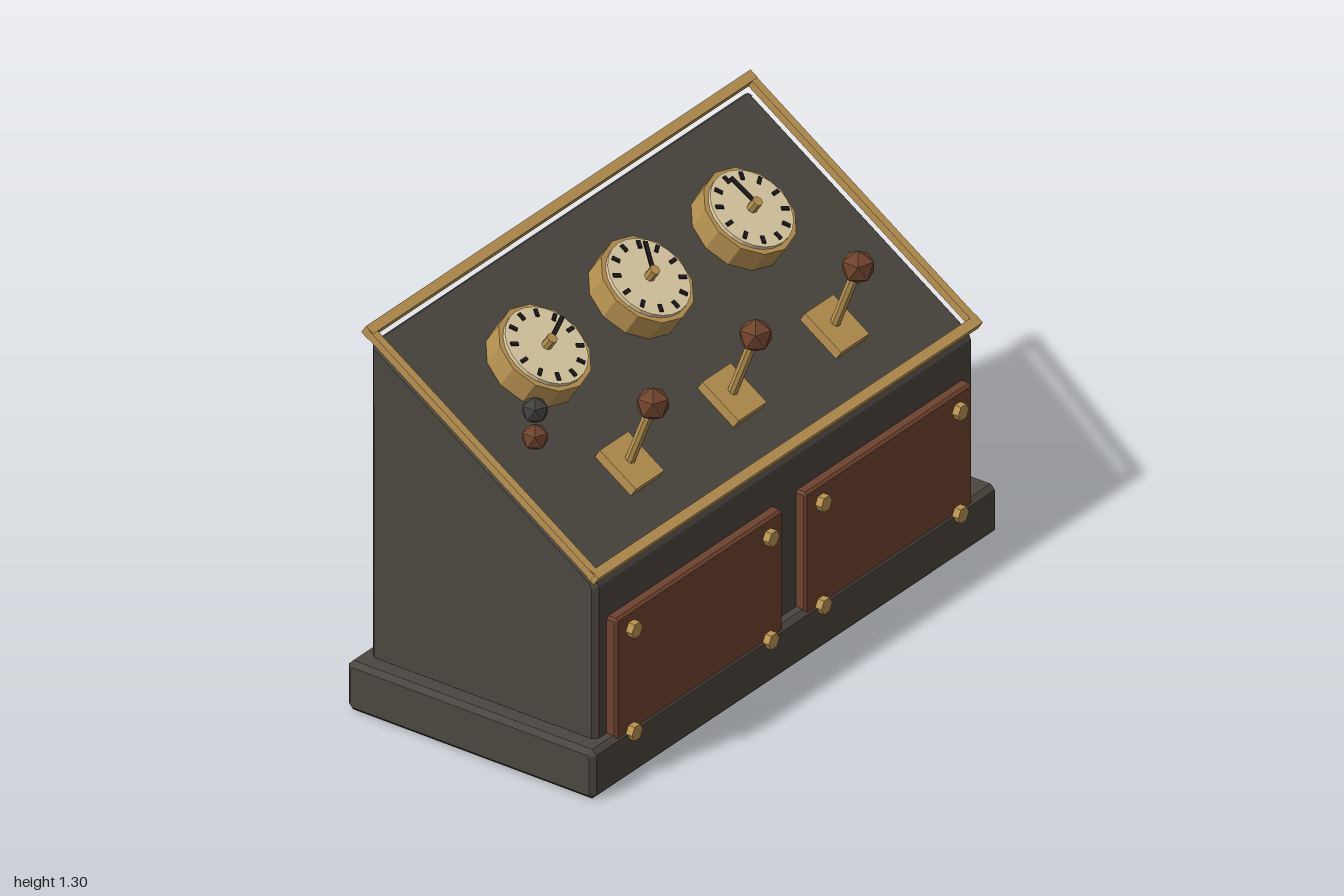
import * as THREE from 'three';

const paint = (name, color) => {
  const m = new THREE.MeshStandardMaterial({ color, flatShading: true });
  m.name = name;
  return m;
};

const SLOPE = Math.atan(0.66); // tilt of the control panel

// Extrudes a side profile of [z, y] corners along x, chamfering every edge
function chamferedBlock(corners, width, b) {
  const pts = [];
  corners.forEach(([z, y], i) => {
    const p = new THREE.Vector2(-z, y);
    for (const j of [i + corners.length - 1, i + 1]) {
      const [nz, ny] = corners[j % corners.length];
      const dir = new THREE.Vector2(-nz, ny).sub(p).normalize();
      pts.push(p.clone().addScaledVector(dir, b));
    }
  });
  const geo = new THREE.ExtrudeGeometry(new THREE.Shape(pts), {
    depth: width - 2 * b, bevelEnabled: true, bevelSegments: 1,
    bevelSize: b, bevelThickness: b, bevelOffset: -b,
  });
  geo.translate(0, 0, b - width / 2);
  geo.rotateY(Math.PI / 2);
  return geo;
}

// Twenty-sided ball with a corner pointing straight up
function facetedBall(r) {
  return new THREE.IcosahedronGeometry(r, 0).rotateZ(-Math.atan(0.618034));
}

export function createModel() {
  const iron = paint('iron', 0x4b463f);
  const wood = paint('redBrown', 0x6f432e);
  const brass = paint('brass', 0xb89350);
  const cream = paint('cream', 0xdfcea6);
  const black = paint('black', 0x1c1a1a);
  const smoke = paint('smokeGrey', 0x413f3d);

  const model = new THREE.Group();
  model.name = 'controlConsole';

  const add = (parent, name, geo, mat, x = 0, y = 0, z = 0) => {
    const mesh = new THREE.Mesh(geo, mat);
    mesh.name = name;
    mesh.position.set(x, y, z);
    parent.add(mesh);
    return mesh;
  };
  const box = (w, h, d) => new THREE.BoxGeometry(w, h, d);
  const cyl = (r, h, sides) => new THREE.CylinderGeometry(r, r, h, sides);

  // Plinth and sloping cabinet
  add(model, 'base', chamferedBlock(
    [[0.45, 0], [0.45, 0.168], [-0.465, 0.168], [-0.465, 0]], 2, 0.016), iron);
  add(model, 'cabinet', chamferedBlock(
    [[0.41, 0.1], [0.41, 0.7], [-0.425, 1.25], [-0.425, 0.1]], 1.87, 0.016), iron);

  // Front access panels with corner bolts
  for (const side of [-1, 1]) {
    const panel = new THREE.Group();
    panel.name = side < 0 ? 'rightAccessPanel' : 'leftAccessPanel';
    panel.position.set(side * 0.468, 0.33, 0);
    model.add(panel);
    add(panel, 'panelPlate', chamferedBlock(
      [[0.445, -0.235], [0.445, 0.235], [0.4, 0.235], [0.4, -0.235]], 0.825, 0.008), wood);
    for (const bx of [-0.338, 0.338]) {
      for (const by of [-0.175, 0.175]) {
        const bolt = add(panel, 'bolt', cyl(0.027, 0.026, 6), brass, bx, by, 0.455);
        bolt.rotation.set(Math.PI / 2, Math.PI / 6, 0);
      }
    }
  }

  // Tilted frame: y is away from the slope, z runs down it
  const top = new THREE.Group();
  top.name = 'controlPanel';
  top.position.y = 0.97;
  top.rotation.x = SLOPE;
  model.add(top);

  // Brass rail
  add(top, 'frontRail', box(1.9, 0.032, 0.032), brass, 0, 0.025, 0.474);
  add(top, 'backRail', box(1.9, 0.032, 0.032), brass, 0, 0.025, -0.524);
  for (const s of [-1, 1]) {
    add(top, 'sideRail', box(0.026, 0.026, 1.0), brass, s * 0.938, 0.025, -0.025);
  }

  const needleAngles = [1.2, 0.58, -0.05];
  [-0.507, 0, 0.507].forEach((x, i) => {
    // Round gauge
    const gauge = new THREE.Group();
    gauge.name = 'gauge';
    gauge.position.set(x, 0, -0.174);
    top.add(gauge);
    add(gauge, 'gaugeCase', cyl(0.156, 0.095, 12), brass, 0, 0.0375, 0);
    add(gauge, 'gaugeFace', cyl(0.138, 0.02, 24), cream, 0, 0.088, 0);
    for (let k = 0; k < 12; k++) {
      const a = (k * Math.PI) / 6;
      const tick = add(gauge, 'tick', box(0.012, 0.006, 0.026), black,
        0.114 * Math.sin(a), 0.102, 0.114 * Math.cos(a));
      tick.rotation.y = a;
    }
    const needle = new THREE.Group();
    needle.name = 'needle';
    needle.rotation.y = -needleAngles[i];
    gauge.add(needle);
    add(needle, 'needleArm', box(0.014, 0.006, 0.12), black, 0, 0.126, -0.048);
    add(gauge, 'needleHub', cyl(0.017, 0.04, 8), brass, 0, 0.117, 0);

    // Lever leaning up the slope
    const lever = new THREE.Group();
    lever.name = 'lever';
    lever.position.set(x, 0, 0.246);
    top.add(lever);
    add(lever, 'leverPlate', box(0.14, 0.05, 0.16), brass, 0, 0.009, 0);
    const stem = add(lever, 'leverStem', cyl(0.017, 0.25, 8), brass, 0, 0.13, -0.028);
    stem.rotation.x = -0.215;
    const knob = add(lever, 'leverKnob', facetedBall(0.055), wood, 0, 0.261, -0.057);
    knob.rotation.x = -SLOPE; // keeps the knob upright
  });

  // Pair of indicator lamps, one above the other
  add(model, 'upperLamp', facetedBall(0.044), smoke, -0.755, 1.09, 0.051);
  add(model, 'lowerLamp', facetedBall(0.044), wood, -0.755, 0.998, 0.051);

  return model;
}
